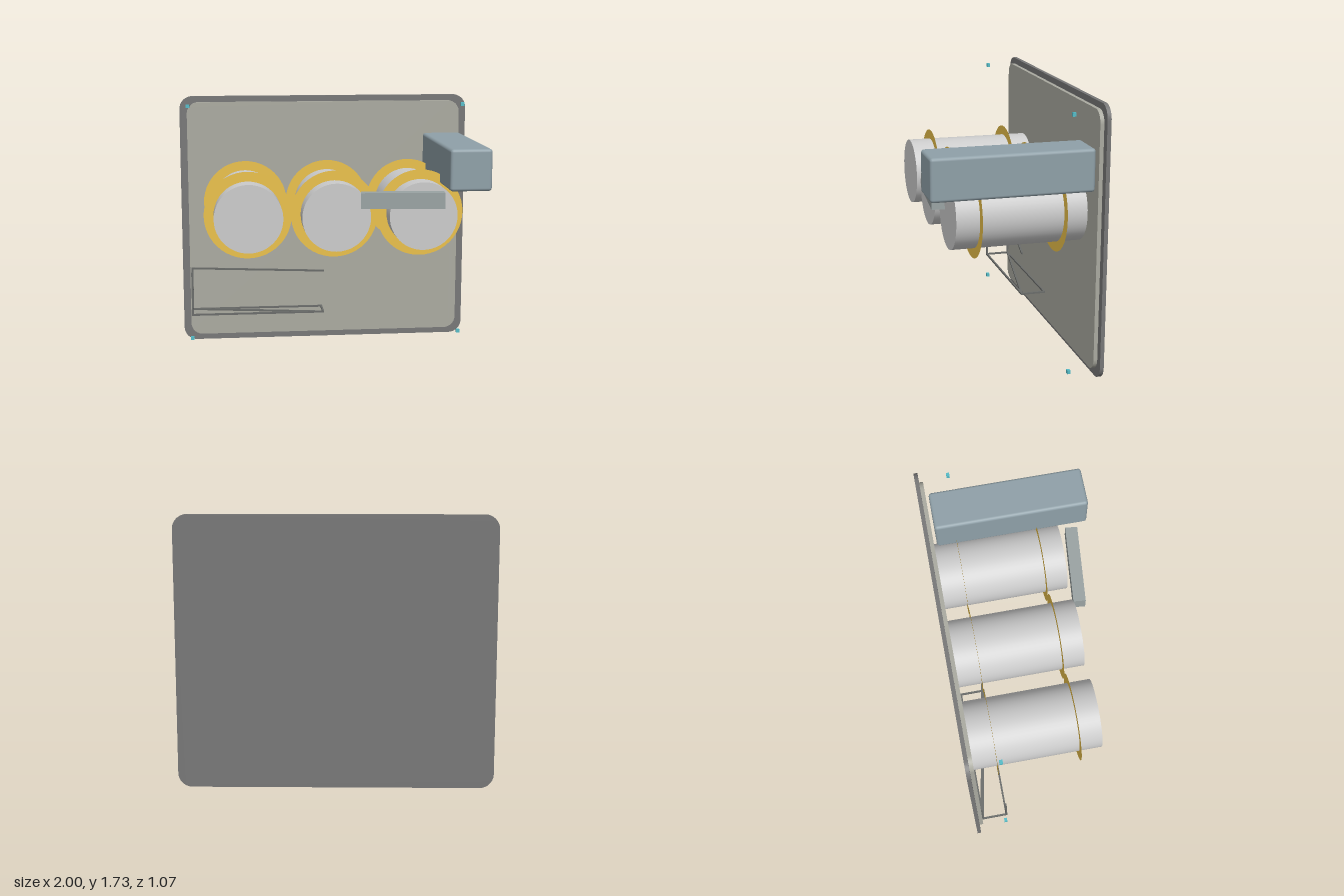
import * as THREE from 'three';
import { RoundedBoxGeometry } from 'three/addons/geometries/RoundedBoxGeometry.js';

const material = (color, side = THREE.FrontSide) => {
  const m = new THREE.MeshStandardMaterial({ side });
  m.color.set(color);
  return m;
};

// Rounded rectangle plate, centred on x, from y0 to y1, from z0 to z1
function plateGeometry(halfW, y0, y1, r, z0, z1) {
  const s = new THREE.Shape();
  s.absarc(halfW - r, y0 + r, r, -Math.PI / 2, 0);
  s.absarc(halfW - r, y1 - r, r, 0, Math.PI / 2);
  s.absarc(-halfW + r, y1 - r, r, Math.PI / 2, Math.PI);
  s.absarc(-halfW + r, y0 + r, r, Math.PI, Math.PI * 1.5);
  s.closePath();
  const g = new THREE.ExtrudeGeometry(s, { depth: z1 - z0, bevelEnabled: false, curveSegments: 10 });
  return g.translate(0, 0, z0);
}

export function createModel() {
  const model = new THREE.Group();
  const add = (name, geometry, mat, x = 0, y = 0, z = 0) => {
    const mesh = new THREE.Mesh(geometry, mat);
    mesh.name = name;
    mesh.position.set(x, y, z);
    model.add(mesh);
    return mesh;
  };

  // Back plate and raised inner panel
  add('backPlate', plateGeometry(1, 0, 1.73, 0.09, -0.535, -0.51), material(0x777777));
  add('innerPanel', plateGeometry(0.95, 0.045, 1.69, 0.08, -0.51, -0.485), material(0xaaaaa0));

  // Three canisters, each held by two thin flat rings
  const canister = new THREE.CylinderGeometry(0.22, 0.22, 0.83, 48).rotateX(Math.PI / 2);
  const ring = new THREE.RingGeometry(0.22, 0.283, 48);
  const grey = material(0xcccccc);
  const gold = material(0xeac04a, THREE.DoubleSide);
  for (const x of [-0.56, 0, 0.56]) {
    add('canister', canister, grey, x, 1.017, -0.073);
    for (const z of [-0.335, 0.195]) add('retainingRing', ring, gold, x, 1.017, z);
  }

  // Long side box
  add('sideBox', new RoundedBoxGeometry(0.265, 0.265, 1, 3, 0.02), material(0x8fa0a8), 0.823, 1.335, 0.035);

  // Slightly turned handle bar
  const handle = add('handle', new THREE.BoxGeometry(0.53, 0.1, 0.08), material(0x9aa3a3), 0.413, 1.135, 0.403);
  handle.rotation.y = -0.095;

  // Wire rack: bottom frame with a diagonal, left uprights and a top diagonal
  const L = -0.935, R = -0.025, F = -0.317, B = -0.48, low = 0.23, high = 0.525;
  const wires = [
    [[L, low, F], [R, low, F]],
    [[L, low, B], [R, low, B]],
    [[L, low, B], [L, low, F]],
    [[R, low, B], [R, low, F]],
    [[L, low, B], [R, low, F]],
    [[L, low, F], [L, high, F]],
    [[L, low, B], [L, high, B]],
    [[L, high, B], [R, high, F]],
  ];
  const wireMat = material(0x6a6c6a);
  for (const [p, q] of wires) {
    const a = new THREE.Vector3(...p), b = new THREE.Vector3(...q);
    const wire = add('rackWire', new THREE.BoxGeometry(0.012, 0.012, a.distanceTo(b) + 0.012), wireMat);
    wire.position.copy(a).lerp(b, 0.5);
    wire.lookAt(b);
  }

  // Small corner markers
  const cube = new THREE.BoxGeometry(0.024, 0.024, 0.02);
  const cyan = material(0x55bcc8);
  for (const x of [-0.94, 0.94])
    for (const y of [0.062, 1.677]) add('cornerMarker', cube, cyan, x, y, -0.325);

  return model;
}
